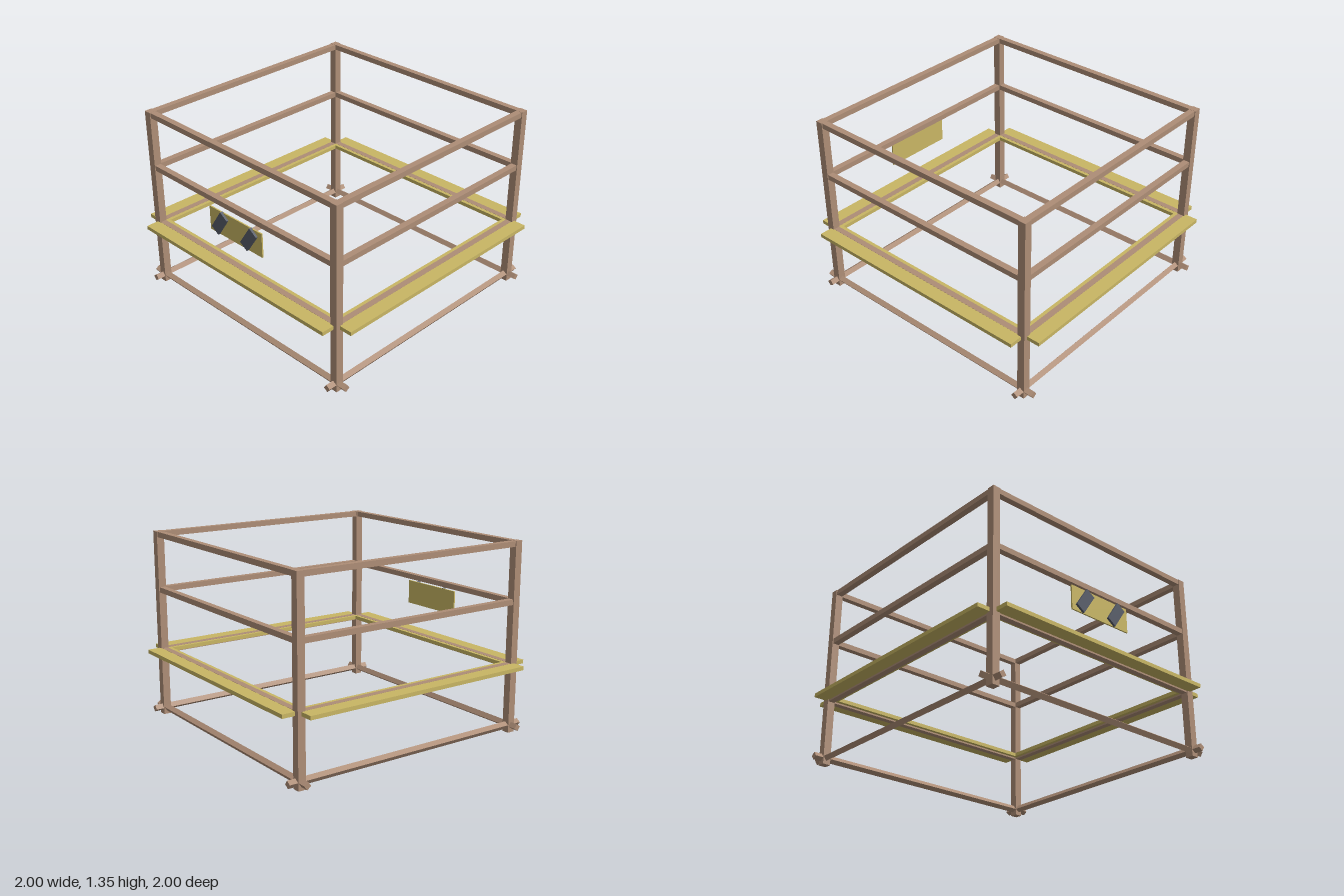
import * as THREE from 'three';

const brown = new THREE.MeshStandardMaterial({ name: 'brown wood', color: 0xad8d76 });
const straw = new THREE.MeshStandardMaterial({ name: 'straw wood', color: 0xc8b664 });
const slate = new THREE.MeshStandardMaterial({ name: 'slate', color: 0x575c68 });

function box(parent, name, size, pos, material) {
  const mesh = new THREE.Mesh(new THREE.BoxGeometry(...size), material);
  mesh.name = name;
  mesh.position.set(...pos);
  parent.add(mesh);
  return mesh;
}

export function createModel() {
  const model = new THREE.Group();
  model.name = 'timberFrame';
  const C = 0.88; // distance from the centre to the post axes

  // Four identical sides, each with one post, its rails, a ledge and a ground pole
  for (let i = 0; i < 4; i++) {
    const side = new THREE.Group();
    side.name = 'side' + (i + 1);
    side.rotation.y = (i * Math.PI) / 2;
    model.add(side);

    box(side, 'cornerPost', [0.055, 1.35, 0.055], [C, 0.675, C], brown);
    box(side, 'topRail', [2 * C, 0.038, 0.044], [0, 1.33, C], brown);
    box(side, 'middleRail', [2 * C, 0.038, 0.044], [0, 0.932, C], brown);
    box(side, 'ledgeRail', [2 * C, 0.04, 0.044], [0, 0.481, C], brown);
    box(side, 'ledgeBoard', [2 * C, 0.027, 0.168], [0, 0.4865, 0.916], straw);

    // Ground pole, turned about its own length and crossing past the posts
    const pole = box(side, 'groundPole', [1.935, 0.037, 0.037], [0, 0.05, C], brown);
    pole.rotation.x = 0.6;
  }

  // Sign plate with two slanted slabs on the front
  box(model, 'signPlate', [0.51, 0.175, 0.01], [0, 0.7975, 0.912], straw);
  for (const x of [-0.145, 0.14]) {
    const slab = box(model, 'slantedSlab', [0.076, 0.17, 0.022], [x, 0.8, 0.922], slate);
    slab.rotation.z = -0.6;
  }
  return model;
}
